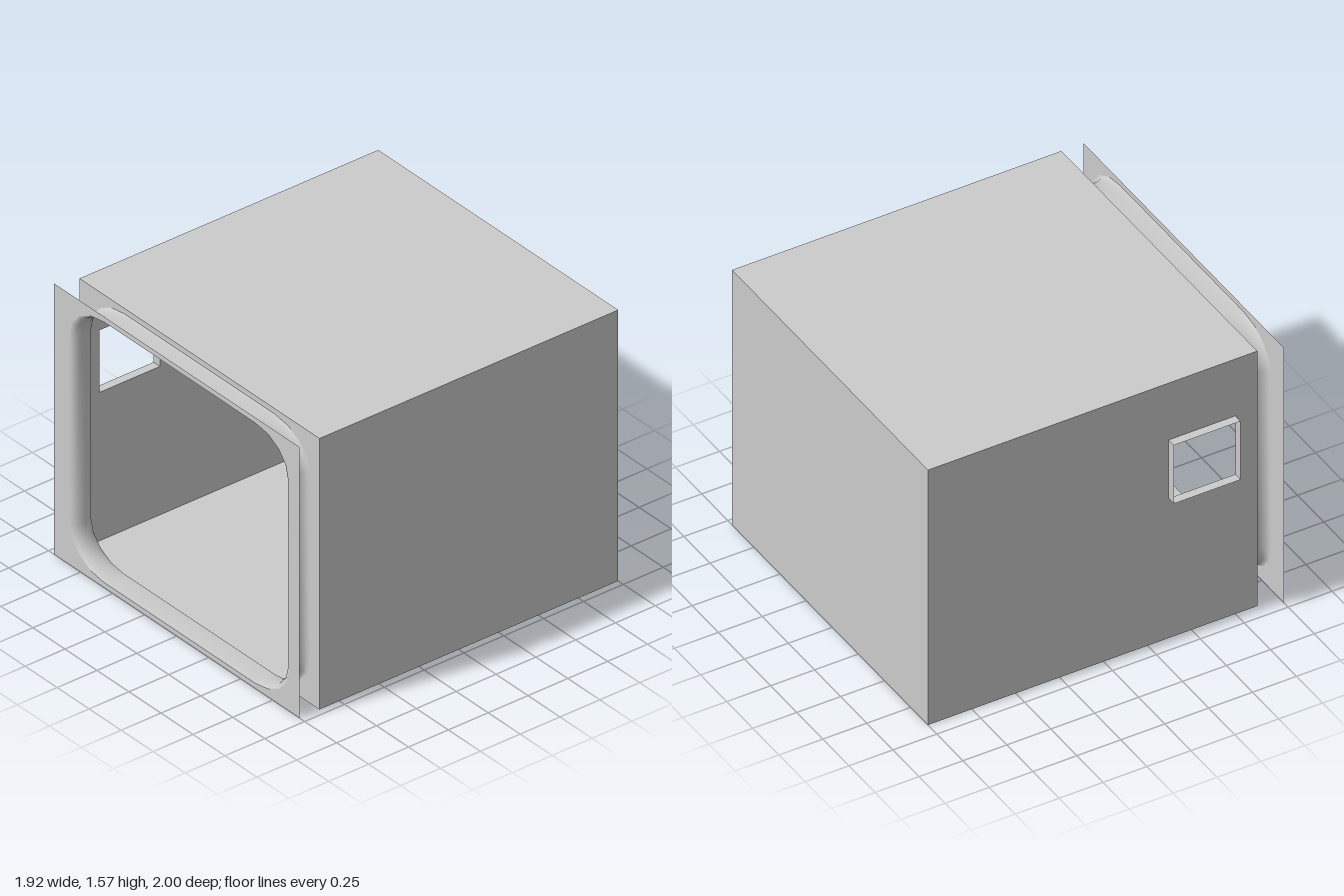
import * as THREE from 'three';
import { toCreasedNormals } from 'three/addons/utils/BufferGeometryUtils.js';

// Overall extents of the housing
const X0 = -0.915, X1 = 0.96, H = 1.57, BACK = -1, RIM = 0.875, FRONT = 1;
const CX = (X0 + X1) / 2, CY = H / 2, CZ = (BACK + RIM) / 2;
const W = X1 - X0, D = RIM - BACK;

const material = new THREE.MeshStandardMaterial({ color: 0xcccccc, side: THREE.DoubleSide });
const flatMaterial = material.clone();
flatMaterial.flatShading = true;

function add(group, name, geometry, mat = material) {
  const mesh = new THREE.Mesh(geometry, mat);
  mesh.name = name;
  group.add(mesh);
  return mesh;
}

// Rounded-corner opening, counterclockwise; flare widens it sideways
function openingOutline(flare) {
  const halfW = 0.815 + flare, halfH = 0.754, rx = 0.27, ry = 0.21, steps = 4;
  const signs = [[1, 1], [-1, 1], [-1, -1], [1, -1]];
  const points = [];
  signs.forEach(([sx, sy], corner) => {
    for (let i = 0; i <= steps; i++) {
      const a = (corner + i / steps) * Math.PI / 2;
      points.push(new THREE.Vector2(
        CX + sx * (halfW - rx) + rx * Math.cos(a),
        CY + sy * (halfH - ry) + ry * Math.sin(a)));
    }
  });
  return points;
}

function rectangle(x0, y0, x1, y1) {
  return [[x0, y0], [x1, y0], [x1, y1], [x0, y1]].map(([x, y]) => new THREE.Vector2(x, y));
}

// Flat sheet with one hole cut in it
function sheet(outer, hole) {
  const shape = new THREE.Shape(outer);
  shape.holes.push(new THREE.Path(hole));
  return new THREE.ShapeGeometry(shape);
}

// Neck joining the two frames, waisted in a half-round groove
function neckGeometry(flare) {
  const rows = 12, positions = [], index = [];
  let count = 0;
  for (let r = 0; r <= rows; r++) {
    const a = Math.PI * r / rows;
    const outline = openingOutline(flare * (1 - Math.sin(a)));
    const z = (RIM + FRONT) / 2 - (FRONT - RIM) / 2 * Math.cos(a);
    count = outline.length;
    outline.forEach(p => positions.push(p.x, p.y, z));
  }
  for (let r = 0; r < rows; r++) {
    for (let i = 0; i < count; i++) {
      const j = (i + 1) % count, a = r * count, b = a + count;
      index.push(a + i, a + j, b + j, a + i, b + j, b + i);
    }
  }
  const geometry = new THREE.BufferGeometry();
  geometry.setAttribute('position', new THREE.Float32BufferAttribute(positions, 3));
  geometry.setIndex(index);
  return toCreasedNormals(geometry, Math.PI / 4);
}

export function createModel() {
  const model = new THREE.Group();
  model.name = 'housing';
  const flare = 0.045;

  // Thin-walled body
  const body = new THREE.Group();
  body.name = 'body';
  model.add(body);
  add(body, 'topWall', new THREE.PlaneGeometry(W, D).rotateX(-Math.PI / 2)).position.set(CX, H, CZ);
  add(body, 'bottomWall', new THREE.PlaneGeometry(W, D).rotateX(Math.PI / 2)).position.set(CX, 0, CZ);
  add(body, 'leftWall', new THREE.PlaneGeometry(D, H).rotateY(Math.PI / 2)).position.set(X1, CY, CZ);
  add(body, 'backWall', new THREE.PlaneGeometry(W, H).rotateY(Math.PI)).position.set(CX, CY, BACK);

  // Side wall with the square port
  const port = { z0: 0.37, z1: 0.75, y0: 0.86, y1: 1.22 };
  add(body, 'rightWall', sheet(
    rectangle(BACK, 0, RIM, H),
    rectangle(port.z0, port.y0, port.z1, port.y1)).rotateY(-Math.PI / 2)).position.x = X0;

  // Short open collar around the port
  const collarDepth = 0.05;
  const collar = new THREE.CylinderGeometry(Math.SQRT1_2, Math.SQRT1_2, collarDepth, 4, 1, true, Math.PI / 4)
    .rotateZ(Math.PI / 2).scale(1, port.y1 - port.y0, port.z1 - port.z0);
  add(model, 'portCollar', collar, flatMaterial)
    .position.set(X0 - collarDepth / 2, (port.y0 + port.y1) / 2, (port.z0 + port.z1) / 2);

  // Front of the body, waisted neck and wider front flange
  add(model, 'bodyFrontFrame', sheet(rectangle(X0, 0, X1, H), openingOutline(flare))).position.z = RIM;
  add(model, 'neck', neckGeometry(flare));
  add(model, 'frontFlange', sheet(rectangle(-0.96, 0, X1, H), openingOutline(flare))).position.z = FRONT;

  return model;
}
